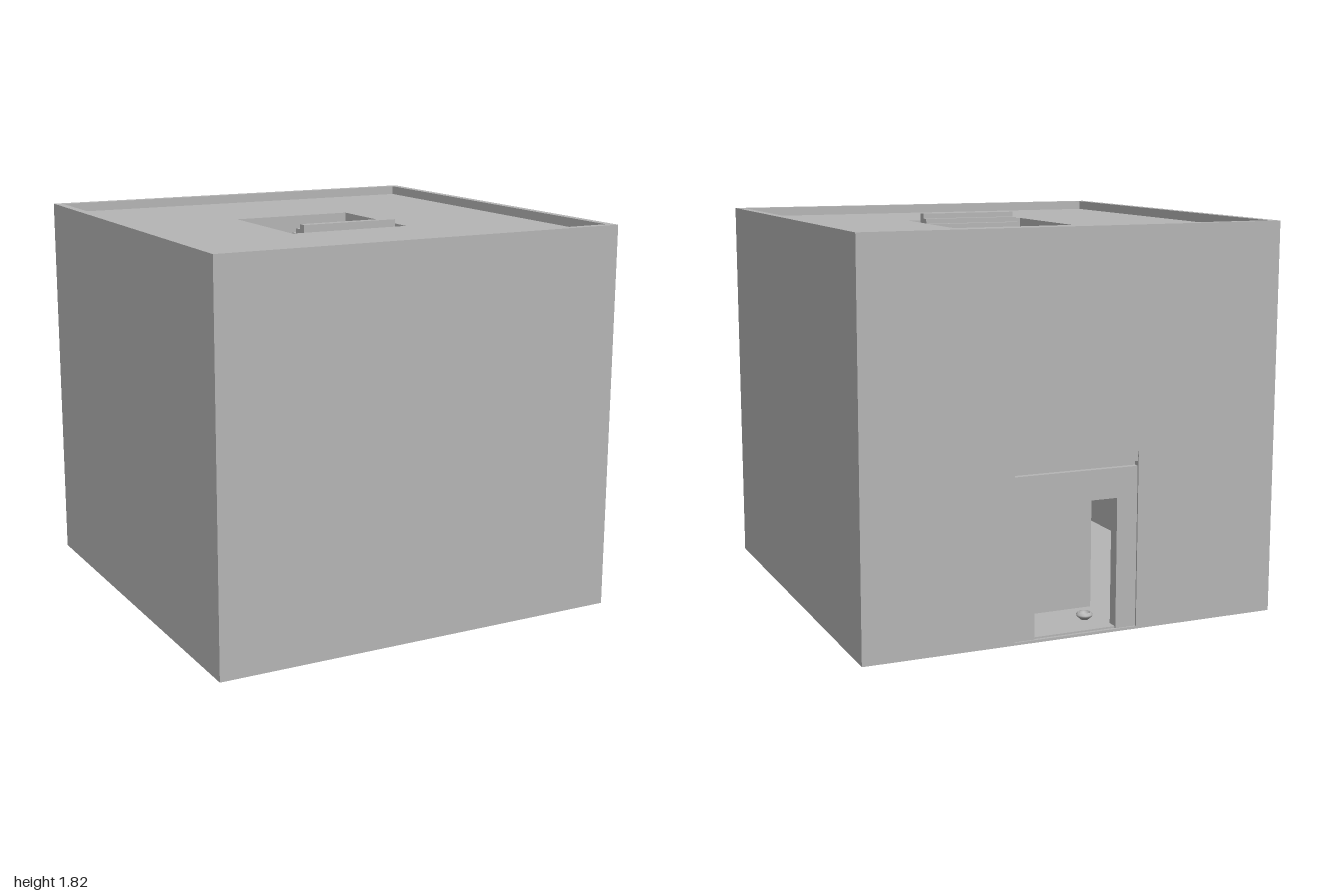
import * as THREE from 'three';

export function createModel() {
  const group = new THREE.Group();
  const plaster = new THREE.MeshStandardMaterial({ color: 0xb6b6b6 });
  plaster.name = 'plaster grey';

  const add = (name, geometry, x = 0, y = 0, z = 0) => {
    const mesh = new THREE.Mesh(geometry, plaster);
    mesh.name = name;
    mesh.position.set(x, y, z);
    group.add(mesh);
    return mesh;
  };
  // box given by its minimum and maximum corners
  const block = (name, [x0, y0, z0], [x1, y1, z1]) =>
    add(name, new THREE.BoxGeometry(x1 - x0, y1 - y0, z1 - z0),
      (x0 + x1) / 2, (y0 + y1) / 2, (z0 + z1) / 2);
  const outline = (points) => new THREE.Shape(points.map(([x, y]) => new THREE.Vector2(x, y)));
  const extrude = (shape, depth) => new THREE.ExtrudeGeometry(shape, { depth, bevelEnabled: false });

  const H = 1.82, T = 0.04, DECK = 1.777;

  // floor and outer walls; the walls rise past the deck as a parapet
  block('floor', [-1, 0, -1], [1, 0.012, 1]);
  block('frontWall', [-1, 0, 1 - T], [1, H, 1]);
  for (const s of [-1, 1]) {
    add('sideWall', new THREE.BoxGeometry(T, H, 2 - 2 * T), s * (1 - T / 2), H / 2, 0);
  }
  add('backWall', extrude(outline([
    [-1, 0], [-0.3, 0], [-0.3, 0.82], [0.3, 0.82], [0.3, 0], [1, 0], [1, H], [-1, H],
  ]), T), 0, 0, -1);

  // roof deck with a square stair opening
  const deck = outline([[-0.96, -0.96], [0.96, -0.96], [0.96, 0.96], [-0.96, 0.96]]);
  deck.holes.push(new THREE.Path([[-0.3, -0.3], [-0.3, 0.3], [0.3, 0.3], [0.3, -0.3]]
    .map(([x, y]) => new THREE.Vector2(x, y))));
  add('roofDeck', extrude(deck, 0.1), 0, DECK - 0.1, 0).rotation.x = -Math.PI / 2;

  // recessed door frame, with a shadow gap under the lintel
  add('doorFrame', extrude(outline([
    [-0.3, 0], [-0.2, 0], [-0.2, 0.615], [0.2, 0.615], [0.2, 0], [0.3, 0], [0.3, 0.752], [-0.3, 0.752],
  ]), 0.055), 0, 0, -0.992);
  block('lintel', [-0.3, 0.775, -0.995], [0.3, 0.82, -0.94]);
  block('lintelGap', [-0.3, 0.752, -0.965], [0.3, 0.775, -0.94]);
  block('threshold', [-0.2, 0, -0.985], [0.2, 0.02, -0.94]);

  // stair climbing towards the front, on a solid base
  const steps = 24, run = 0.04, rise = 0.0235, top = 1.812;
  const profile = [[0.3, 0.012], [0.3, top]];
  for (let i = 0; i < steps; i++) {
    const z = 0.3 - (i + 1) * run;
    profile.push([z, top - i * rise]);
    profile.push([z, i < steps - 1 ? top - (i + 1) * rise : 0.012]);
  }
  add('stair', extrude(outline(profile), 0.48), 0.24).rotation.y = -Math.PI / 2;

  // vessels on the floor
  const bowl = new THREE.LatheGeometry([
    [0, 0], [0.025, 0], [0.05, 0.022], [0.055, 0.036], [0.04, 0.05], [0.034, 0.046], [0.03, 0.02], [0, 0.014],
  ].map(([x, y]) => new THREE.Vector2(x, y)), 20);
  add('bowl', bowl, 0.2, 0.012, -0.735);
  add('smallBowl', bowl, -0.13, 0.012, -0.82).scale.setScalar(0.7);
  add('taperedStand', new THREE.CylinderGeometry(0.01, 0.033, 0.25, 20), 0.435, 0.137, -0.46);

  return group;
}
